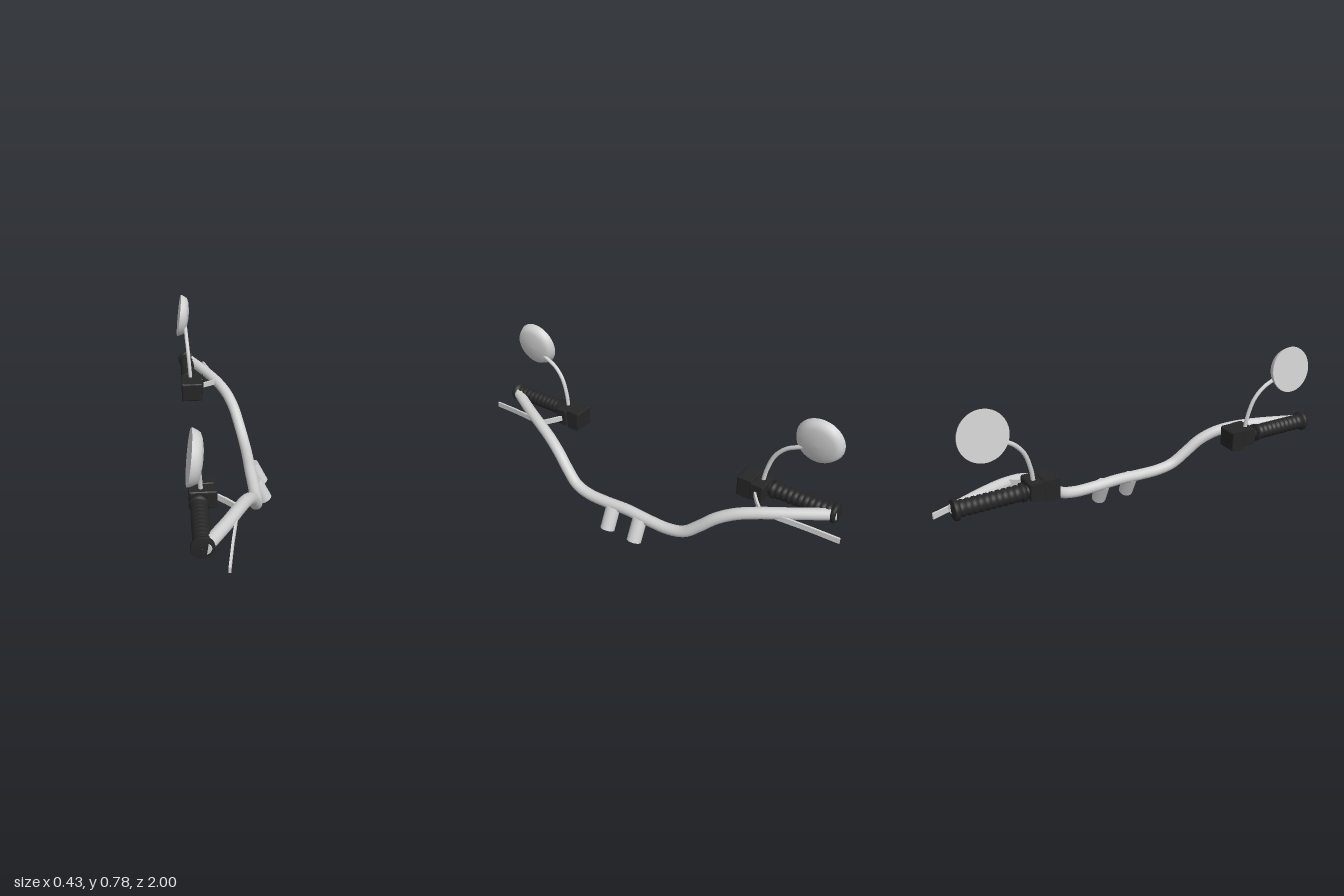
import * as THREE from 'three';

const V = (x, y, z) => new THREE.Vector3(x, y, z);

export function createModel() {
  const group = new THREE.Group();
  const chrome = new THREE.MeshStandardMaterial({ color: 0xd0d0d0 });
  chrome.name = 'chrome';
  const black = new THREE.MeshStandardMaterial({ color: 0x262626 });
  black.name = 'black rubber';

  const add = (name, geometry, material) => {
    const mesh = new THREE.Mesh(geometry, material);
    mesh.name = name;
    group.add(mesh);
    return mesh;
  };
  // Points are given for the +z side; s = -1 mirrors them
  const curveOf = (points, s = 1) =>
    new THREE.CatmullRomCurve3(points.map(([x, y, z]) => V(x, y, z * s)), false, 'centripetal');

  // Box with rounded vertical and side edges, extruded along z
  const roundedBlock = (w, h, d, bevel) => {
    const a = w / 2 - bevel, b = h / 2 - bevel;
    const shape = new THREE.Shape([[-a, -b], [a, -b], [a, b], [-a, b]].map(p => new THREE.Vector2(...p)));
    const g = new THREE.ExtrudeGeometry(shape, {
      depth: d - 2 * bevel, bevelSize: bevel, bevelThickness: bevel, bevelSegments: 3, curveSegments: 4,
    });
    return g.translate(0, 0, -d / 2 + bevel);
  };

  // Flat strip bent along a curve
  const blade = (curve, thick, height) => {
    const g = new THREE.BoxGeometry(thick, height, 1, 1, 1, 32);
    const p = g.attributes.position, up = V(0, 1, 0);
    for (let i = 0; i < p.count; i++) {
      const u = p.getZ(i) + 0.5;
      const side = up.clone().cross(curve.getPoint(u * 0.998 + 0.001) && curve.getTangent(u)).normalize();
      const q = curve.getPoint(u).addScaledVector(side, p.getX(i)).addScaledVector(up, p.getY(i));
      p.setXYZ(i, q.x, q.y, q.z);
    }
    g.computeVertexNormals();
    return g;
  };

  // Main bar, swept up and back at both ends
  const half = [
    [0.122, 0.124, 0.13], [0.121, 0.125, 0.24], [0.114, 0.145, 0.32], [0.097, 0.2, 0.39],
    [0.075, 0.262, 0.46], [0.045, 0.305, 0.54], [0.005, 0.329, 0.635],
    [-0.05, 0.342, 0.75], [-0.153, 0.356, 0.936],
  ];
  const barPoints = [
    ...half.slice().reverse().map(([x, y, z]) => [x, y, -z]), [0.12, 0.13, 0], ...half,
  ];
  const barCurve = curveOf(barPoints);
  add('handlebar', new THREE.TubeGeometry(barCurve, 120, 0.028, 20), chrome);
  for (const u of [0, 1]) {
    const cap = add('handlebarEnd', new THREE.CircleGeometry(0.028, 20), chrome);
    const out = barCurve.getTangent(u).multiplyScalar(u ? 1 : -1);
    cap.position.copy(barCurve.getPoint(u));
    cap.quaternion.setFromUnitVectors(V(0, 0, 1), out);
  }

  // Grip profile: flanges at both ends, ribs between
  const grip = [[0.001, 0.622], [0.042, 0.622], [0.043, 0.637], [0.034, 0.64]];
  for (let i = 0; i < 10; i++) {
    const z = 0.647 + i * 0.027;
    grip.push([0.034, z], [0.038, z + 0.006], [0.038, z + 0.016], [0.034, z + 0.021]);
  }
  grip.push([0.036, 0.916], [0.045, 0.92], [0.048, 0.927], [0.048, 0.936], [0.044, 0.942], [0.001, 0.943]);

  // Mirror head profile: flat glass, tapered rim, shallow domed back
  const dome = [[0.112, 0], [0.113, 0.004], [0.106, 0.022], [0.098, 0.036], [0.08, 0.044], [0.05, 0.05], [0.022, 0.053], [0.0005, 0.054]];
  const lathe = (profile, n) =>
    new THREE.LatheGeometry(profile.map(p => new THREE.Vector2(...p)), n);

  for (const s of [1, -1]) {
    // Clamp post under the bar
    const riser = add('riser', new THREE.CylinderGeometry(0.036, 0.036, 0.116, 24), chrome);
    riser.position.set(0.159, 0.069, 0.08 * s);
    riser.rotation.z = 0.464;

    // Ribbed grip
    const g = add('grip', lathe(grip, 28), black);
    g.position.set(-0.16, 0.355, 0);
    g.rotation.x = s * Math.PI / 2;

    // Switch housing, clamp and grip collar
    add('switchHousing', roundedBlock(0.108, 0.1, 0.075, 0.009), black).position.set(-0.146, 0.35, 0.504 * s);
    add('leverClamp', roundedBlock(0.118, 0.084, 0.07, 0.009), black).position.set(-0.141, 0.355, 0.572 * s);
    const collar = add('gripCollar', new THREE.CylinderGeometry(0.028, 0.028, 0.04, 20), black);
    collar.position.set(-0.16, 0.355, 0.612 * s);
    collar.rotation.x = Math.PI / 2;

    // Control lever
    const leverCurve = curveOf([
      [-0.088, 0.35, 0.565], [-0.035, 0.343, 0.608], [-0.004, 0.337, 0.645],
      [-0.012, 0.332, 0.71], [-0.038, 0.316, 0.85], [-0.063, 0.296, 1],
    ], s);
    add('lever', blade(leverCurve, 0.01, 0.027), chrome);

    // Mirror stem
    const stemCurve = curveOf([
      [-0.15, 0.385, 0.573], [-0.154, 0.45, 0.583], [-0.16, 0.535, 0.612],
      [-0.165, 0.59, 0.66], [-0.168, 0.622, 0.72], [-0.175, 0.645, 0.765],
    ], s);
    add('mirrorStem', new THREE.TubeGeometry(stemCurve, 32, 0.01, 12), chrome);

    // Round mirror facing the rider, tilted slightly up
    const mirror = new THREE.Group();
    mirror.name = 'mirror';
    const shell = new THREE.Mesh(lathe(dome, 40), chrome);
    shell.name = 'mirrorShell';
    const glass = new THREE.Mesh(new THREE.CircleGeometry(0.112, 40), chrome);
    glass.name = 'mirrorGlass';
    glass.rotation.x = Math.PI / 2;
    mirror.add(shell, glass);
    mirror.position.set(-0.201, 0.671, 0.798 * s);
    mirror.rotation.z = -Math.PI / 2 - 0.13;
    group.add(mirror);
  }
  return group;
}
